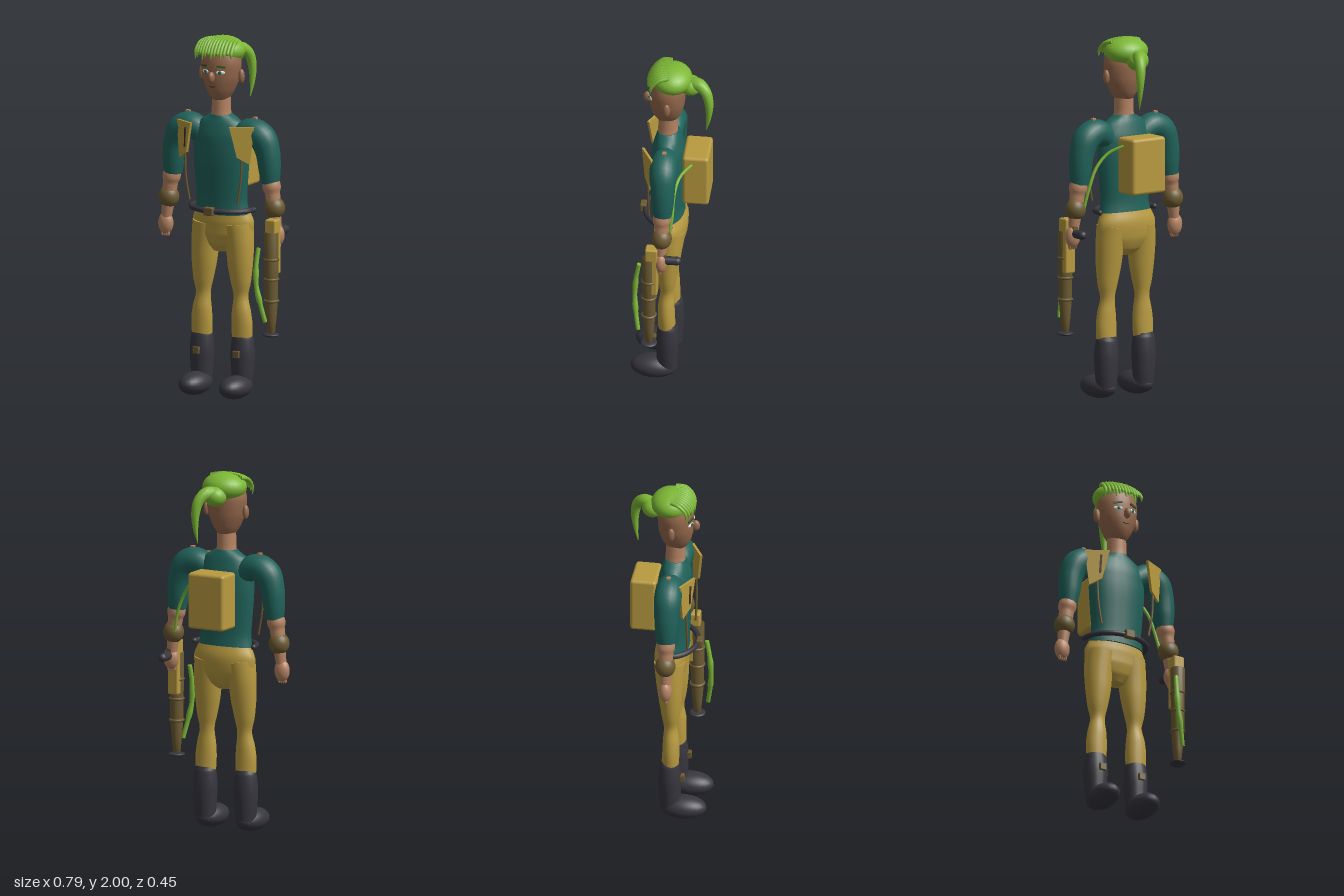
import * as THREE from 'three';
import { RoundedBoxGeometry } from 'three/addons/geometries/RoundedBoxGeometry.js';

const mat = (name, color, side = THREE.FrontSide) => Object.assign(new THREE.MeshStandardMaterial({ color, side }), { name });
const M = {
  skin: mat('skin', 0xb68463),
  face: mat('face skin', 0x96694c),
  teal: mat('teal cloth', 0x20625a),
  gold: mat('mustard', 0xb99b40),
  bronze: mat('olive bronze', 0x6c5b32),
  dark: mat('charcoal', 0x37363e),
  green: mat('hair green', 0x7db835),
  white: mat('eye white', 0xdfe3dc),
  brow: mat('dark green', 0x35592a),
  line: mat('dark brown', 0x43301f),
};
const X = new THREE.Vector3(1, 0, 0), Z = new THREE.Vector3(0, 0, 1);

// Smooth body swept through points [x, y, z, a, b]; a lies along ref, b across it
function sweep(pts, ref = X, steps = 24, seg = 20) {
  const path = new THREE.CatmullRomCurve3(pts.map(p => new THREE.Vector3(p[0], p[1], p[2])));
  const size = new THREE.CatmullRomCurve3(pts.map(p => new THREE.Vector3(p[3], p[4] ?? p[3], 0)));
  const pos = [], idx = [];
  let rings = 0;
  const ring = (t, k) => {
    const c = path.getPoint(t), r = size.getPoint(t), d = path.getTangent(t);
    const u = ref.clone().addScaledVector(d, -ref.dot(d)).normalize();
    const v = d.clone().cross(u);
    for (let j = 0; j < seg; j++) {
      const w = j / seg * Math.PI * 2;
      const p = c.clone().addScaledVector(u, Math.cos(w) * r.x * k).addScaledVector(v, Math.sin(w) * r.y * k);
      pos.push(p.x, p.y, p.z);
    }
    rings++;
  };
  ring(0, 0); ring(0, 1);
  for (let i = 0; i <= steps; i++) ring(i / steps, 1);
  ring(1, 1); ring(1, 0);
  for (let i = 0; i < rings - 1; i++) for (let j = 0; j < seg; j++) {
    const k = (j + 1) % seg, a = i * seg + j, b = i * seg + k;
    idx.push(a, b, a + seg, b, b + seg, a + seg);
  }
  const g = new THREE.BufferGeometry();
  g.setAttribute('position', new THREE.Float32BufferAttribute(pos, 3));
  g.setIndex(idx);
  g.computeVertexNormals();
  return g;
}

export function createModel() {
  const root = new THREE.Group();
  const add = (name, geo, material, x = 0, y = 0, z = 0) => {
    const m = new THREE.Mesh(geo, material);
    m.name = name;
    m.position.set(x, y, z);
    root.add(m);
    return m;
  };
  const ball = (name, material, x, y, z, rx, ry, rz) => {
    const m = add(name, new THREE.SphereGeometry(1, 24, 16), material, x, y, z);
    m.scale.set(rx, ry, rz);
    return m;
  };
  const box = (name, material, x, y, z, w, h, d) => add(name, new THREE.BoxGeometry(w, h, d), material, x, y, z);
  const rbox = (name, material, x, y, z, w, h, d, r) => add(name, new RoundedBoxGeometry(w, h, d, 2, r), material, x, y, z);
  const cord = (name, material, pts, r) => add(name, sweep(pts.map(p => [...p, r]), X, 14, 8), material);

  // Torso, hips, neck and head
  add('shirt', sweep([[0, 1.02, .02, .165, .088], [0, 1.1, .024, .152, .084], [0, 1.2, .026, .158, .088],
    [0, 1.35, .028, .168, .094], [0, 1.45, .028, .165, .09], [0, 1.53, .028, .125, .07], [0, 1.57, .03, .06, .056]]), M.teal);
  add('hips', sweep([[0, 1.035, .015, .162, .082], [0, .97, .008, .186, .09], [0, .9, .01, .18, .085],
    [0, .84, .015, .13, .065], [0, .8, .02, .05, .035]]), M.gold);
  add('neck', sweep([[0, 1.54, .03, .06, .057], [0, 1.6, .03, .053, .054], [0, 1.7, .03, .052, .054]]), M.skin);
  add('head', sweep([[0, 1.63, .052, .02, .025], [0, 1.65, .045, .042, .053], [0, 1.7, .038, .075, .082], [0, 1.77, .034, .105, .097],
    [0, 1.85, .032, .116, .1], [0, 1.92, .03, .1, .088], [0, 1.96, .03, .05, .045]]), M.face);
  ball('nose', M.face, 0, 1.787, .142, .018, .032, .024);
  box('mouth', M.line, 0, 1.733, .127, .034, .005, .008);

  for (const s of [1, -1]) {
    // Face details
    ball('ear', M.face, s * .124, 1.787, .025, .017, .04, .02);
    const turn = s * .4;
    ball('eyeWhite', M.white, s * .047, 1.815, .122, .026, .011, .006).rotation.y = turn;
    ball('iris', M.teal, s * .045, 1.815, .127, .01, .01, .004).rotation.y = turn;
    box('eyebrow', M.brow, s * .05, 1.847, .124, .05, .01, .008).rotation.set(0, turn, -s * .12);

    // Arms
    add('sleeve', sweep([[s * .1, 1.44, .028, .06], [s * .19, 1.487, .028, .074], [s * .255, 1.46, .028, .076],
      [s * .29, 1.38, .026, .068], [s * .302, 1.28, .026, .061], [s * .307, 1.21, .026, .05]], Z), M.teal);
    add('forearm', sweep([[s * .305, 1.25, .026, .042], [s * .32, 1.16, .028, .042], [s * .335, 1.05, .028, .036], [s * .345, .96, .03, .028]], Z), M.skin);
    ball('bracer', M.bronze, s * .333, 1.075, .027, .058, .062, .056);
    ball('hand', M.skin, s * .35, .925, .03, .044, .062, .036);
    for (let i = 0; i < 4; i++) ball('finger', M.skin, s * (.33 + i * .013), .878, .034, .008, .025, .012);
    box('shoulderPatch', M.skin, s * .212, 1.561, .026, .022, .014, .022);

    // Legs and boots
    add('leg', sweep([[s * .095, .96, .012, .085, .085], [s * .108, .85, .015, .08, .075], [s * .113, .74, .02, .073, .064],
      [s * .118, .64, .022, .058, .05], [s * .118, .56, .022, .042, .037], [s * .123, .48, .025, .055, .045],
      [s * .126, .4, .024, .062, .047], [s * .126, .28, .02, .055, .048]]), M.gold);
    add('bootShaft', sweep([[s * .126, .355, .015, .05, .045], [s * .127, .33, .017, .062, .055], [s * .128, .24, .019, .069, .063],
      [s * .128, .14, .02, .063, .06], [s * .127, .06, .022, .055, .055]]), M.dark);
    ball('foot', M.dark, s * .127, .066, .093, .078, .064, .129);
    box('bootBuckle', M.bronze, s * .126, .247, .087, .035, .036, .024);

    // Chest panels with hanging cords
    const shape = new THREE.Shape([[0, 0], [.138, 0], [.114, -.21], [.042, -.17]].map(p => new THREE.Vector2(s * p[0], p[1])));
    const panel = add('chestPanel', new THREE.ExtrudeGeometry(shape, { depth: .014, bevelEnabled: false }), M.gold, s * .116, 1.525, .148);
    panel.rotation.y = s * .49;
    cord('hangingCord', M.bronze, [[s * .178, 1.34, .118], [s * .172, 1.22, .12], [s * .15, 1.09, .118]], .006);
  }
  box('panelSlot', M.line, -.168, 1.44, .137, .012, .11, .006).rotation.set(0, -.49, -.06);

  // Hair cap, fringe and ponytail
  ball('hairCap', M.green, 0, 1.922, .008, .125, .078, .112);
  for (let i = 0; i < 13; i++) {
    const x = -.118 + i * .0188, k = Math.sqrt(1 - (x / .15) ** 2);
    const low = 1.875 + (i % 3) * .012 + i * .0015;
    add('fringeLock', sweep([[x * .8, 1.955 + .032 * k, .02, .013], [x * .95, 1.945 + .03 * k, .03 + .06 * k, .011],
      [x, 1.92, .06 + .075 * k, .009], [x * 1.02, low, .05 + .09 * k, .002]], X, 12, 8), M.green);
  }
  ball('hairBun', M.green, 0, 1.882, -.095, .062, .056, .06);
  add('ponytail', sweep([[0, 1.895, -.09, .04], [.025, 1.905, -.145, .036], [.05, 1.87, -.186, .03],
    [.062, 1.8, -.203, .024], [.063, 1.71, -.2, .014], [.057, 1.63, -.187, .002]], X, 24, 14), M.green);

  // Belt wraps the front only
  const belt = [];
  for (let i = 0; i <= 8; i++) {
    const a = Math.PI * i / 8;
    belt.push(new THREE.Vector3(Math.cos(a) * .187, 1.045, Math.sin(a) * .152));
  }
  add('belt', new THREE.TubeGeometry(new THREE.CatmullRomCurve3(belt), 32, .015, 10), M.dark);
  for (const s of [1, -1]) ball('beltEnd', M.dark, s * .187, 1.045, 0, .015, .015, .015);
  rbox('beltBuckle', M.bronze, 0, 1.045, .165, .056, .046, .034, .006);

  // Backpack and its hose
  rbox('backpack', M.gold, 0, 1.31, -.133, .226, .312, .146, .018);
  cord('packHose', M.green, [[.09, 1.43, -.13], [.17, 1.38, -.055], [.235, 1.3, -.03], [.28, 1.19, -.025], [.305, 1.08, -.01]], .009);

  // Hand-held sprayer: casing, tapered barrel, rings, flared nozzle and grip
  const wx = .352, wz = .095;
  rbox('sprayerCasing', M.gold, wx, .87, .08, .066, .305, .068, .01);
  const profile = [[0, .39], [.02, .39], [.028, .47], [.036, .57], [.038, .72], [.04, .95], [0, .95]].map(p => new THREE.Vector2(...p));
  add('sprayerBarrel', new THREE.LatheGeometry(profile, 20), M.bronze, wx, 0, wz);
  for (const y of [.8, .69, .57]) {
    add('barrelRing', new THREE.TorusGeometry(.036, .008, 8, 24), M.bronze, wx, y, wz).rotation.x = Math.PI / 2;
  }
  ball('nozzle', M.dark, wx, .38, wz, .046, .012, .046);
  box('gripLink', M.bronze, wx, .95, .025, .03, .07, .05);
  add('grip', new THREE.CapsuleGeometry(.024, .06, 6, 14), M.dark, wx, .943, -.03).rotation.x = Math.PI / 2;
  add('sprayerHose', sweep([[.305, .87, .155, .012], [.3, .77, .172, .013], [.305, .66, .178, .013],
    [.325, .56, .17, .013], [.347, .46, .155, .012]], X, 16, 10), M.green);

  return root;
}
